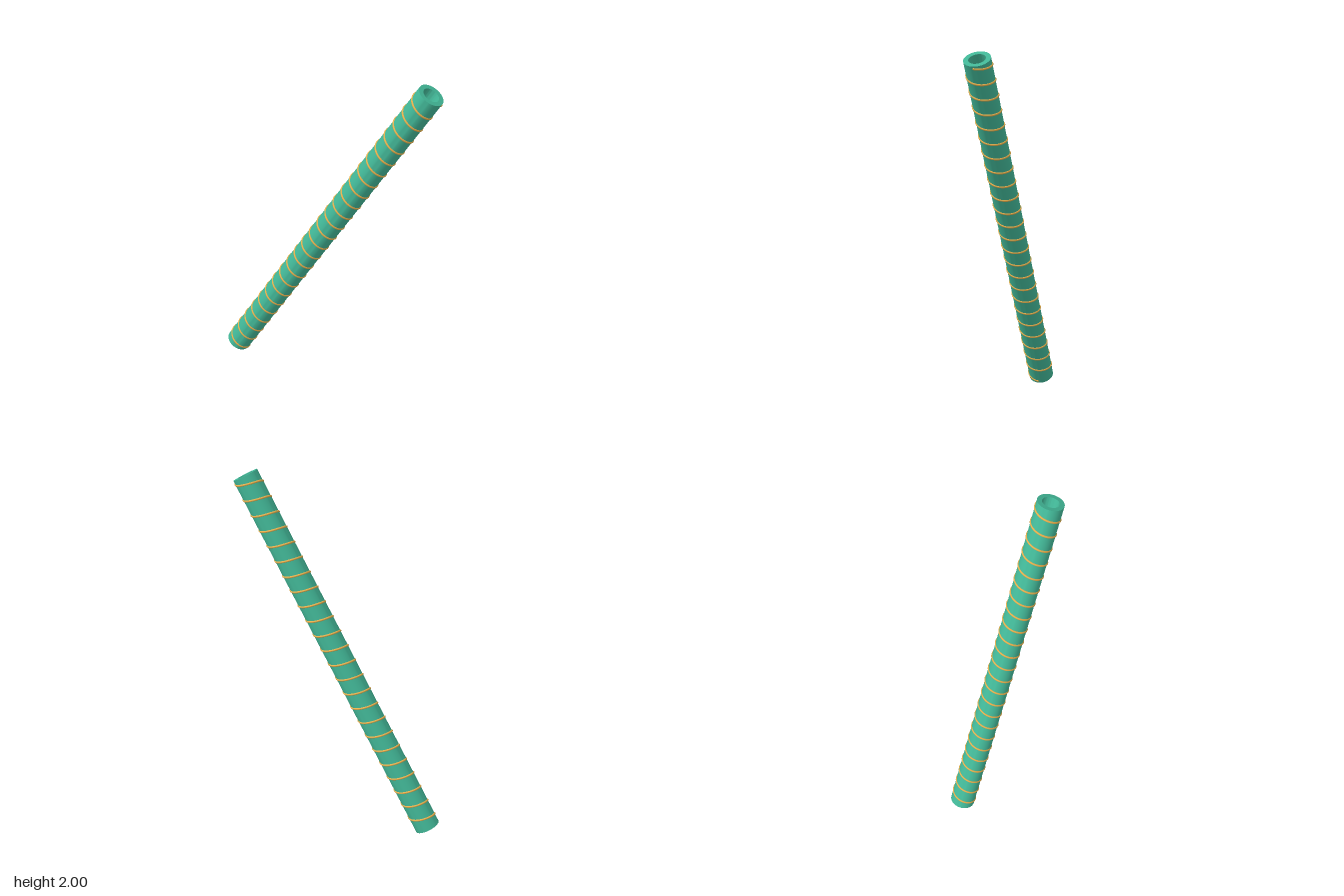
import * as THREE from 'three';
import { toCreasedNormals } from 'three/addons/utils/BufferGeometryUtils.js';

const LENGTH = 2.234, OUTER = 0.071, INNER = 0.045;
const TURNS = 24, COIL_LENGTH = 2.205, COIL_RADIUS = 0.07, WIRE = 0.006;
const LEAN = THREE.MathUtils.degToRad(30.35);

// Wire path wound around the tube, rising along y
class Helix extends THREE.Curve {
  getPoint(t, target = new THREE.Vector3()) {
    const a = t * TURNS * Math.PI * 2;
    return target.set(COIL_RADIUS * Math.cos(a), (t - 0.5) * COIL_LENGTH, COIL_RADIUS * Math.sin(a));
  }
}

export function createModel() {
  const teal = new THREE.MeshStandardMaterial({ color: 0x42b797 });
  teal.name = 'teal';
  const gold = new THREE.MeshStandardMaterial({ color: 0xe4b04e });
  gold.name = 'gold';

  // Hollow tube: closed wall section turned around the axis
  const h = LENGTH / 2;
  const wall = [[OUTER, -h], [OUTER, h], [INNER, h], [INNER, -h], [OUTER, -h]]
    .map(([r, y]) => new THREE.Vector2(r, y));
  const tube = new THREE.Mesh(
    toCreasedNormals(new THREE.LatheGeometry(wall, 48), Math.PI / 5), teal);
  tube.name = 'hollowTube';

  // Spiral wire, with small round ends
  const path = new Helix();
  const wire = new THREE.Mesh(new THREE.TubeGeometry(path, TURNS * 40, WIRE, 10, false), gold);
  wire.name = 'spiralWire';

  const leaning = new THREE.Group();
  leaning.name = 'leaningTube';
  leaning.add(tube, wire);
  for (const t of [0, 1]) {
    const end = new THREE.Mesh(new THREE.SphereGeometry(WIRE, 10, 8), gold);
    end.name = t ? 'wireEndTop' : 'wireEndBottom';
    end.position.copy(path.getPoint(t));
    leaning.add(end);
  }

  // Lean to the model's left
  leaning.rotation.z = -LEAN;
  leaning.position.y = 1;

  const model = new THREE.Group();
  model.name = 'wireWrappedTube';
  model.add(leaning);
  return model;
}
